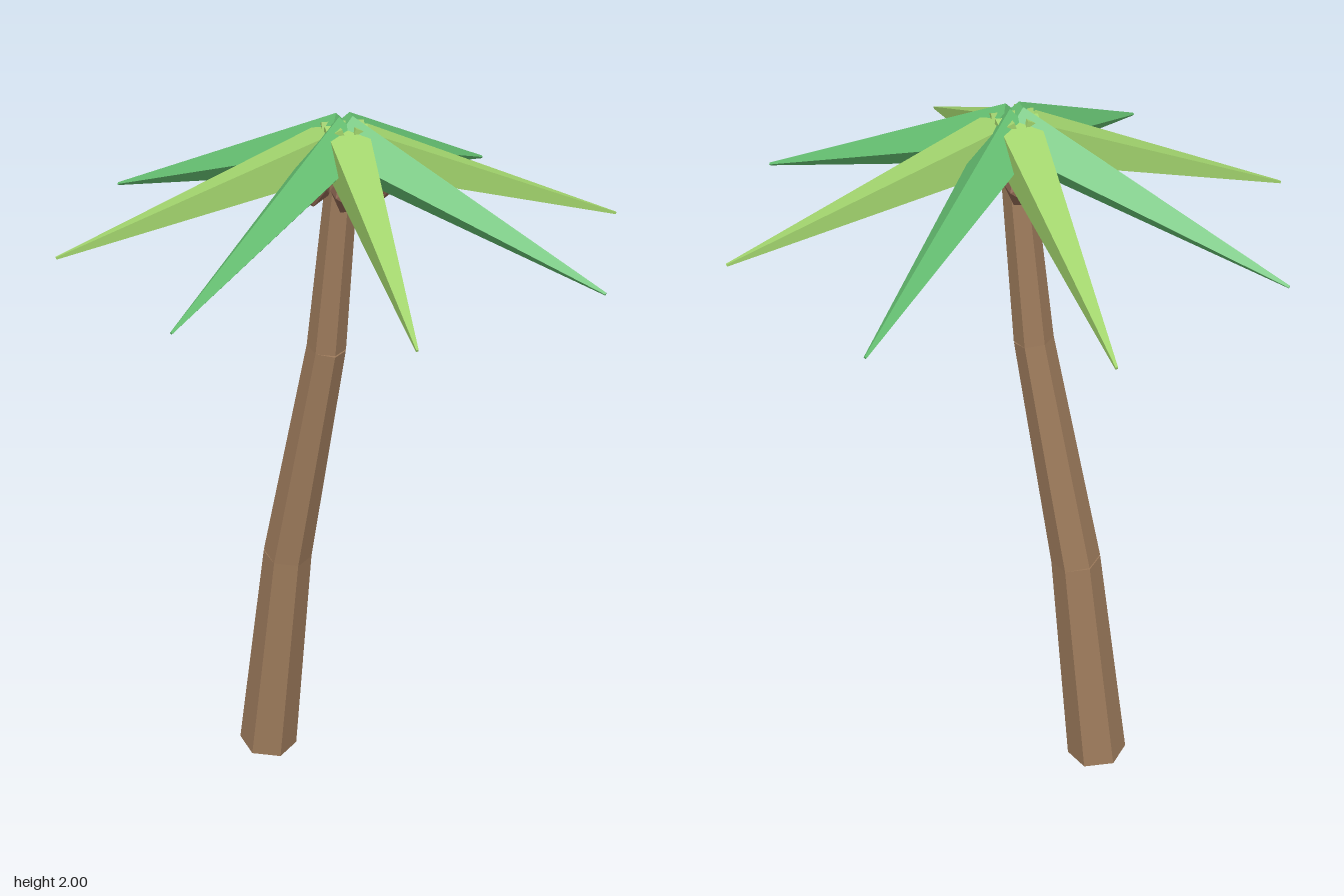
import * as THREE from 'three';

const mat = (name, color) => {
  const m = new THREE.MeshStandardMaterial({ color, flatShading: true });
  m.name = name;
  return m;
};

export function createModel() {
  const bark = mat('bark brown', 0x9c7a5b);
  const nut = mat('coconut brown', 0x8a6450);
  const green = mat('leaf green', 0x64be70);
  const lime = mat('leaf lime', 0xa2d46d);
  const model = new THREE.Group();
  model.name = 'palmTree';

  const add = (parent, name, geometry, material) => {
    const mesh = new THREE.Mesh(geometry, material);
    mesh.name = name;
    parent.add(mesh);
    return mesh;
  };

  // Bent trunk: three tapered six-sided segments, [x, y, radius] at each joint
  const trunk = new THREE.Group();
  trunk.name = 'trunk';
  model.add(trunk);
  const joints = [[-0.272, 0.011, 0.085], [-0.19, 0.69, 0.068], [-0.056, 1.36, 0.052], [0, 1.9, 0.039]];
  for (let i = 0; i < 3; i++) {
    const [x0, y0, r0] = joints[i];
    const [x1, y1, r1] = joints[i + 1];
    const length = Math.hypot(x1 - x0, y1 - y0);
    const segment = add(trunk, 'trunkSegment', new THREE.CylinderGeometry(r1, r0, length, 6), bark);
    segment.position.set((x0 + x1) / 2, (y0 + y1) / 2, 0);
    segment.rotation.z = -Math.atan2(x1 - x0, y1 - y0);
  }

  // Crown of eight drooping four-sided leaves, alternating ridge-up and flat-up
  const crown = new THREE.Group();
  crown.name = 'crown';
  crown.position.y = 1.926;
  model.add(crown);
  const droop = Math.atan2(0.241, 0.725);
  const leafLength = Math.hypot(0.241, 0.725);
  for (let i = 0; i < 8; i++) {
    const flat = i % 2 === 1;
    const leaf = new THREE.CylinderGeometry(0.004, 0.076, leafLength, 4);
    if (flat) leaf.rotateY(Math.PI / 4);
    leaf.translate(0, leafLength / 2, 0);
    leaf.rotateZ(-Math.PI / 2 - droop);
    leaf.rotateY((i * Math.PI) / 4);
    add(crown, flat ? 'limeLeaf' : 'greenLeaf', leaf, flat ? lime : green);
  }

  // Faceted coconuts under the crown
  for (const sx of [-1, 1]) {
    for (const sz of [-1, 1]) {
      const coconut = add(model, 'coconut', new THREE.IcosahedronGeometry(0.056, 0), nut);
      coconut.position.set(sx * 0.06, 1.825, sz * 0.06);
      coconut.rotation.y = Math.atan2(sx, sz);
    }
  }
  return model;
}
